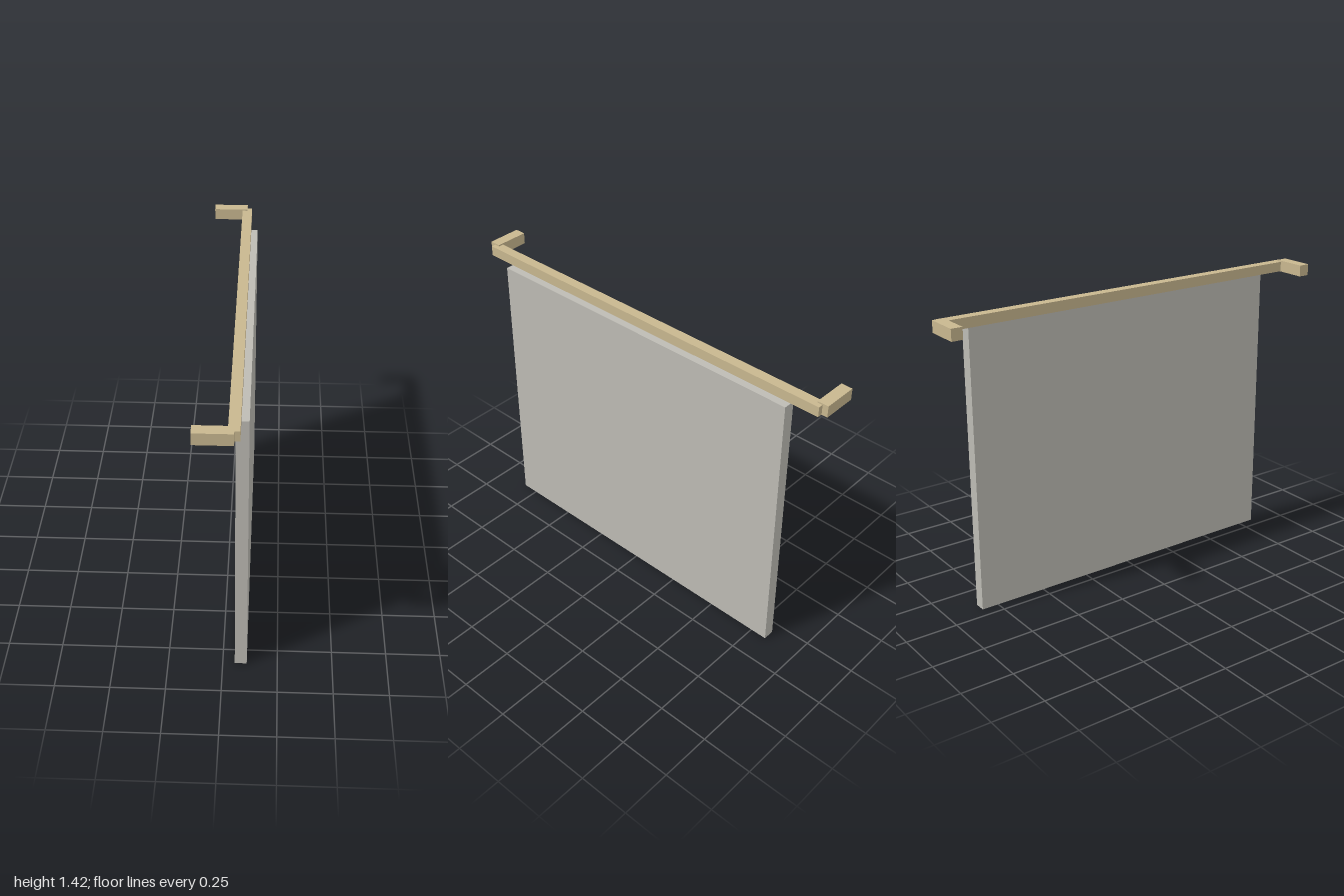
import * as THREE from 'three';

export function createModel() {
  const model = new THREE.Group();
  const wood = new THREE.MeshStandardMaterial({ color: 0xc8b78f });
  wood.name = 'paleWood';
  const grey = new THREE.MeshStandardMaterial({ color: 0xbdbbb4 });
  grey.name = 'warmGrey';

  // Box given by its lower and upper corners
  function addBox(name, material, [x0, y0, z0], [x1, y1, z1]) {
    const mesh = new THREE.Mesh(new THREE.BoxGeometry(x1 - x0, y1 - y0, z1 - z0), material);
    mesh.position.set((x0 + x1) / 2, (y0 + y1) / 2, (z0 + z1) / 2);
    mesh.name = name;
    model.add(mesh);
  }

  // Hanging panel
  addBox('panel', grey, [0.055, 0, -0.833], [0.11, 1.362, 0.833]);

  // Long rail above the panel
  addBox('rail', wood, [0.03, 1.366, -0.972], [0.078, 1.414, 0.972]);

  // Bracket arms at both ends of the rail
  addBox('frontArm', wood, [-0.11, 1.365, 0.946], [0.055, 1.42, 1]);
  addBox('backArm', wood, [-0.11, 1.365, -1], [0.055, 1.42, -0.946]);

  return model;
}
